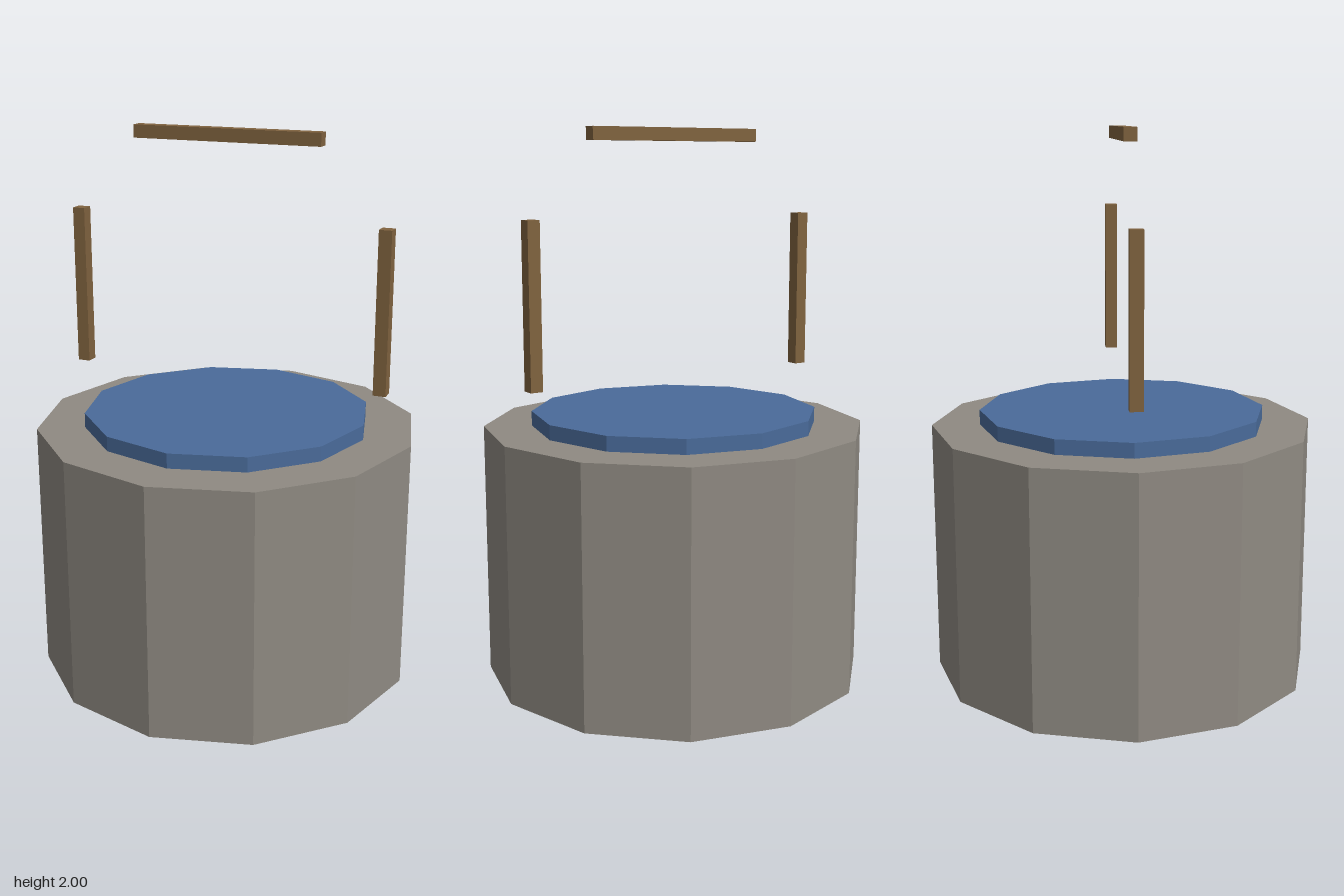
import * as THREE from 'three';

const material = (color) => new THREE.MeshStandardMaterial({ color, flatShading: true });

export function createModel() {
  const well = new THREE.Group();
  well.name = 'well';
  const stone = material(0x8f8a82);
  const blue = material(0x4a6b9a);
  const wood = material(0x80633f);

  const add = (name, geometry, mat, x, y) => {
    const mesh = new THREE.Mesh(geometry, mat);
    mesh.name = name;
    mesh.position.set(x, y, 0);
    well.add(mesh);
  };

  // Twelve-sided stone drum with the water core showing above and below it
  const sides = 12;
  add('stoneWall', new THREE.CylinderGeometry(0.695, 0.695, 0.927, sides), stone, 0, 0.473);
  add('water', new THREE.CylinderGeometry(0.521, 0.521, 0.99, sides), blue, 0, 0.495);

  // Upright posts, left and right
  const beam = 0.046;
  for (const [name, side] of [['leftPost', 1], ['rightPost', -1]]) {
    add(name, new THREE.BoxGeometry(beam, 0.579, beam), wood, side * 0.579, 1.402);
  }

  // Crossbar floating above the posts
  add('crossbar', new THREE.BoxGeometry(0.695, beam, beam), wood, 0, 2 - beam / 2);

  return well;
}
